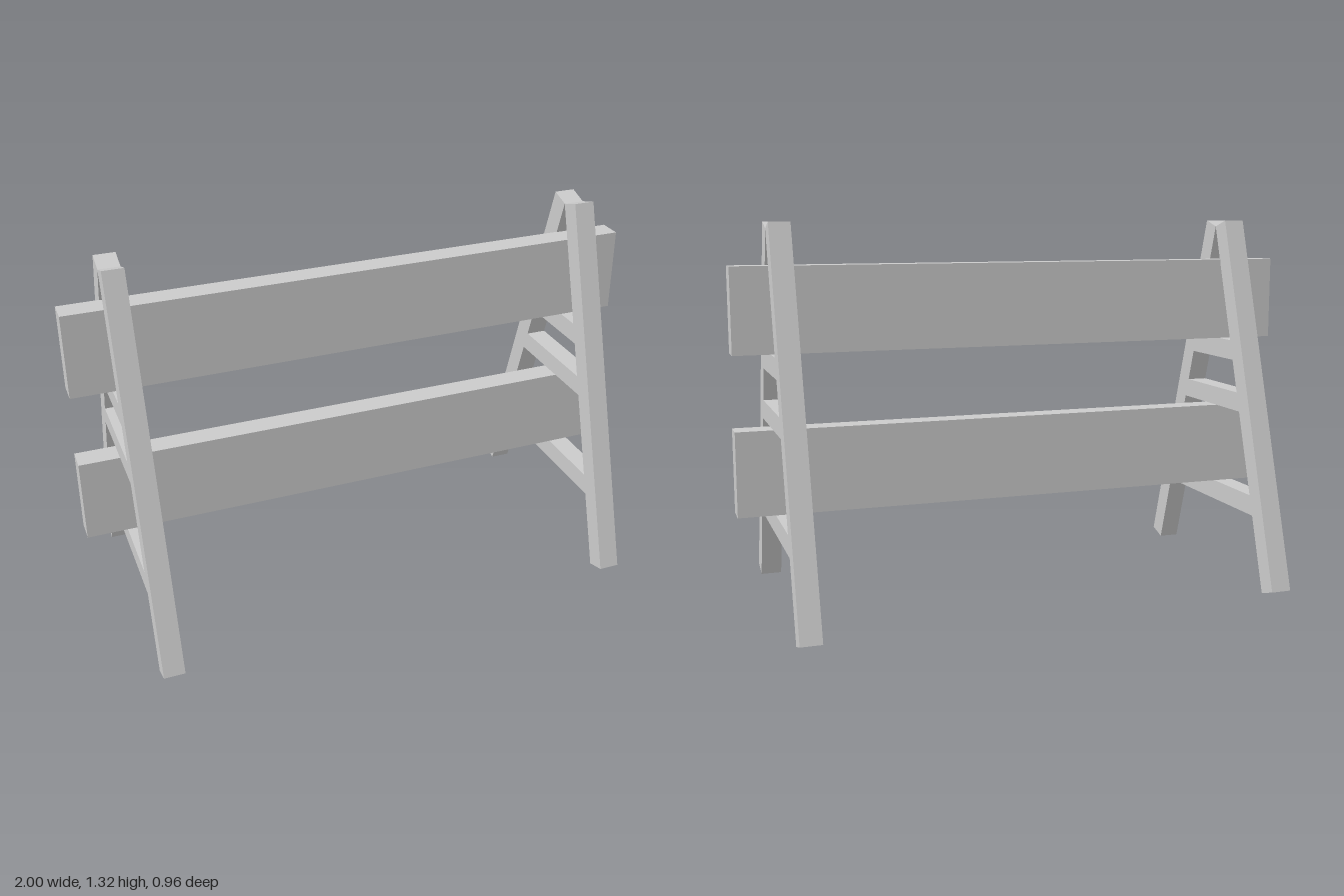
import * as THREE from 'three';

const material = new THREE.MeshStandardMaterial({ color: 0xcccccc, flatShading: true });
const BEAM = 0.073;            // square section of the legs
const APEX = 1.294;            // height where the inner leg edges meet
const SPREAD = 0.411;          // inner leg edge at the ground
const innerZ = (y) => SPREAD * (1 - y / APEX);

function addMesh(parent, name, geometry) {
  const mesh = new THREE.Mesh(geometry, material);
  mesh.name = name;
  parent.add(mesh);
  return mesh;
}

// Trapezoid rung whose ends are mitred against the sloping legs
function rungGeometry(y0, y1) {
  const a = innerZ(y0), b = innerZ(y1);
  const shape = new THREE.Shape([
    new THREE.Vector2(-a, y0), new THREE.Vector2(a, y0),
    new THREE.Vector2(b, y1), new THREE.Vector2(-b, y1),
  ]);
  const geometry = new THREE.ExtrudeGeometry(shape, { depth: BEAM, bevelEnabled: false });
  return geometry.translate(0, 0, -BEAM / 2).rotateY(Math.PI / 2);
}

function createTrestle(name, x) {
  const trestle = new THREE.Group();
  trestle.name = name;
  trestle.position.x = x;

  // Pair of leaning legs with square-cut ends
  const tilt = Math.atan2(SPREAD, APEX);
  const length = Math.hypot(SPREAD, APEX);
  for (const side of [1, -1]) {
    const leg = addMesh(trestle, side > 0 ? 'frontLeg' : 'backLeg',
      new THREE.BoxGeometry(BEAM, length, BEAM));
    leg.position.set(0,
      APEX / 2 + Math.sin(tilt) * BEAM / 2,
      side * (SPREAD / 2 + Math.cos(tilt) * BEAM / 2));
    leg.rotation.x = -side * tilt;
  }

  // Cross rungs
  addMesh(trestle, 'lowerRung', rungGeometry(0.264, 0.335));
  addMesh(trestle, 'middleRung', rungGeometry(0.627, 0.695));
  addMesh(trestle, 'upperRung', rungGeometry(0.811, 0.881));
  return trestle;
}

export function createModel() {
  const model = new THREE.Group();
  model.name = 'barricade';

  model.add(createTrestle('leftTrestle', 0.837), createTrestle('rightTrestle', -0.824));

  // Long boards resting on the rungs
  for (const [name, bottom] of [['lowerBoard', 0.335], ['upperBoard', 0.881]]) {
    const board = addMesh(model, name, new THREE.BoxGeometry(2, 0.292, 0.083));
    board.position.y = bottom + 0.146;
  }
  return model;
}
